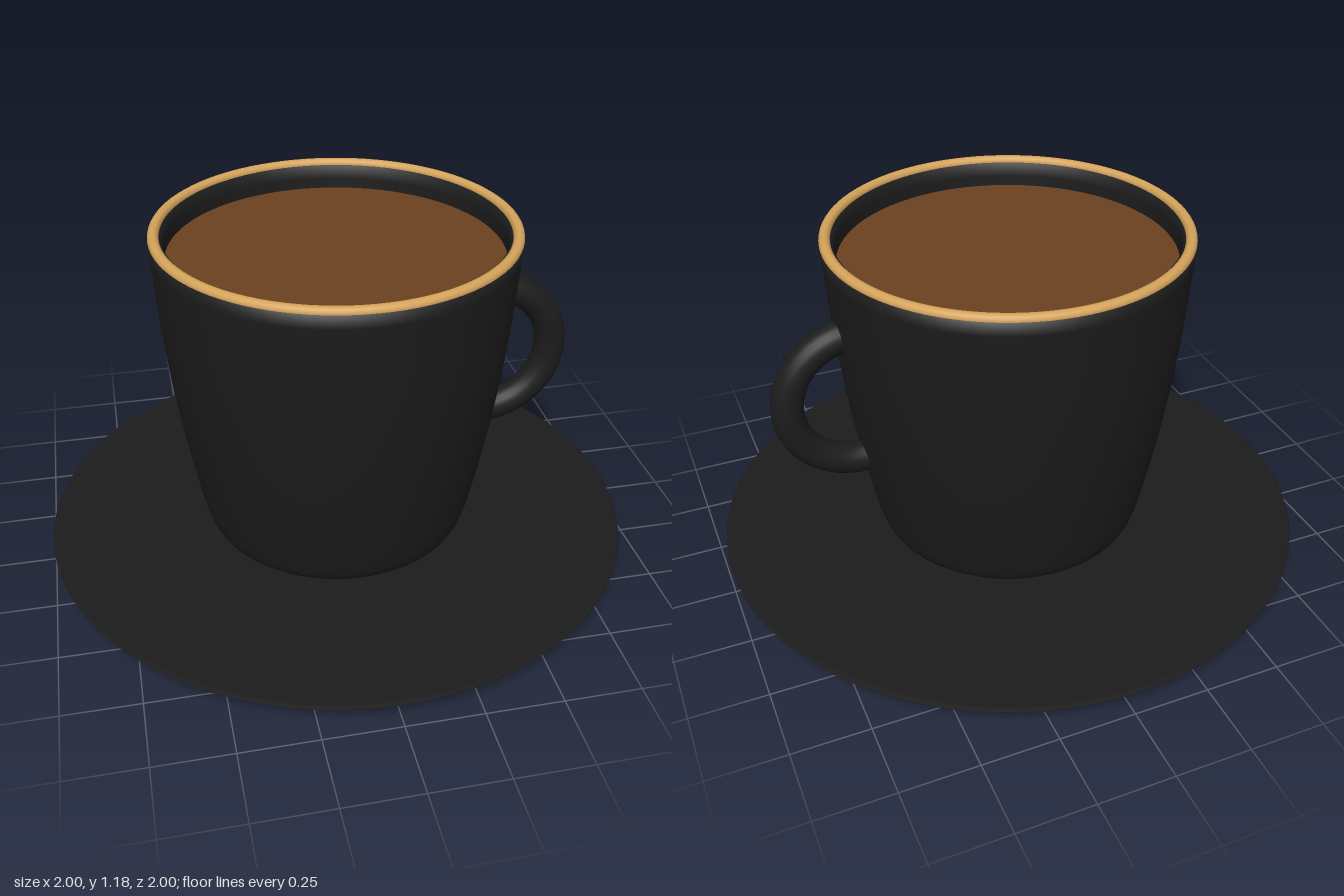
import * as THREE from 'three';

const SEGMENTS = 96;

// Revolve a profile of [radius, height] pairs around the vertical axis
function revolve(profile) {
  return new THREE.LatheGeometry(profile.map(([r, y]) => new THREE.Vector2(r, y)), SEGMENTS);
}

export function createModel() {
  const model = new THREE.Group();

  const glaze = new THREE.MeshStandardMaterial({ color: 0x1c1c1c });
  glaze.name = 'blackGlaze';
  const gold = new THREE.MeshStandardMaterial({ color: 0xd4a35a });
  gold.name = 'goldTrim';
  const brown = new THREE.MeshStandardMaterial({ color: 0x6b4020 });
  brown.name = 'coffeeBrown';

  function add(name, geometry, material) {
    const mesh = new THREE.Mesh(geometry, material);
    mesh.name = name;
    model.add(mesh);
    return mesh;
  }

  // Saucer: flat underside, curved flare, rounded edge and a barely dished top
  add('saucer', revolve([
    [0, 0], [0.5, 0], [0.54, 0.001], [0.6, 0.005], [0.7, 0.01], [0.82, 0.021],
    [0.9, 0.037], [0.95, 0.054], [0.985, 0.075], [0.998, 0.087], [1, 0.09],
    [0.996, 0.093], [0.98, 0.094], [0.94, 0.093], [0.75, 0.09], [0.5, 0.089], [0, 0.089],
  ]), glaze);

  // Cup: outer wall up to the lip, then the inner wall down to the floor
  const wall = new THREE.SplineCurve([
    [0.452, 0.13], [0.472, 0.2], [0.508, 0.39], [0.541, 0.6], [0.569, 0.85], [0.591, 1.165],
  ].map(([r, y]) => new THREE.Vector2(r, y))).getPoints(24).map((p) => [p.x, p.y]);
  const inner = wall.map(([r, y]) => [r - 0.042, y]).reverse();
  add('cup', revolve([
    [0, 0.086], [0.4, 0.086], [0.425, 0.094], [0.442, 0.11],
    ...wall, ...inner, [0, 0.13],
  ]), glaze);

  // Gold band around the lip
  const rim = add('rim', new THREE.TorusGeometry(0.573, 0.018, 16, SEGMENTS), gold);
  rim.rotation.x = Math.PI / 2;
  rim.position.y = 1.166;

  // Coffee surface
  const coffee = add('coffee', new THREE.CircleGeometry(0.544, SEGMENTS), brown);
  coffee.rotation.x = -Math.PI / 2;
  coffee.position.y = 1.085;

  // Handle: half ring whose ends sink into the wall
  const start = -1.74;
  const handle = add('handle', new THREE.TorusGeometry(0.235, 0.053, 20, 48, Math.PI / 2 - start), glaze);
  handle.rotation.z = start;
  handle.position.set(0.52, 0.674, 0);

  return model;
}
